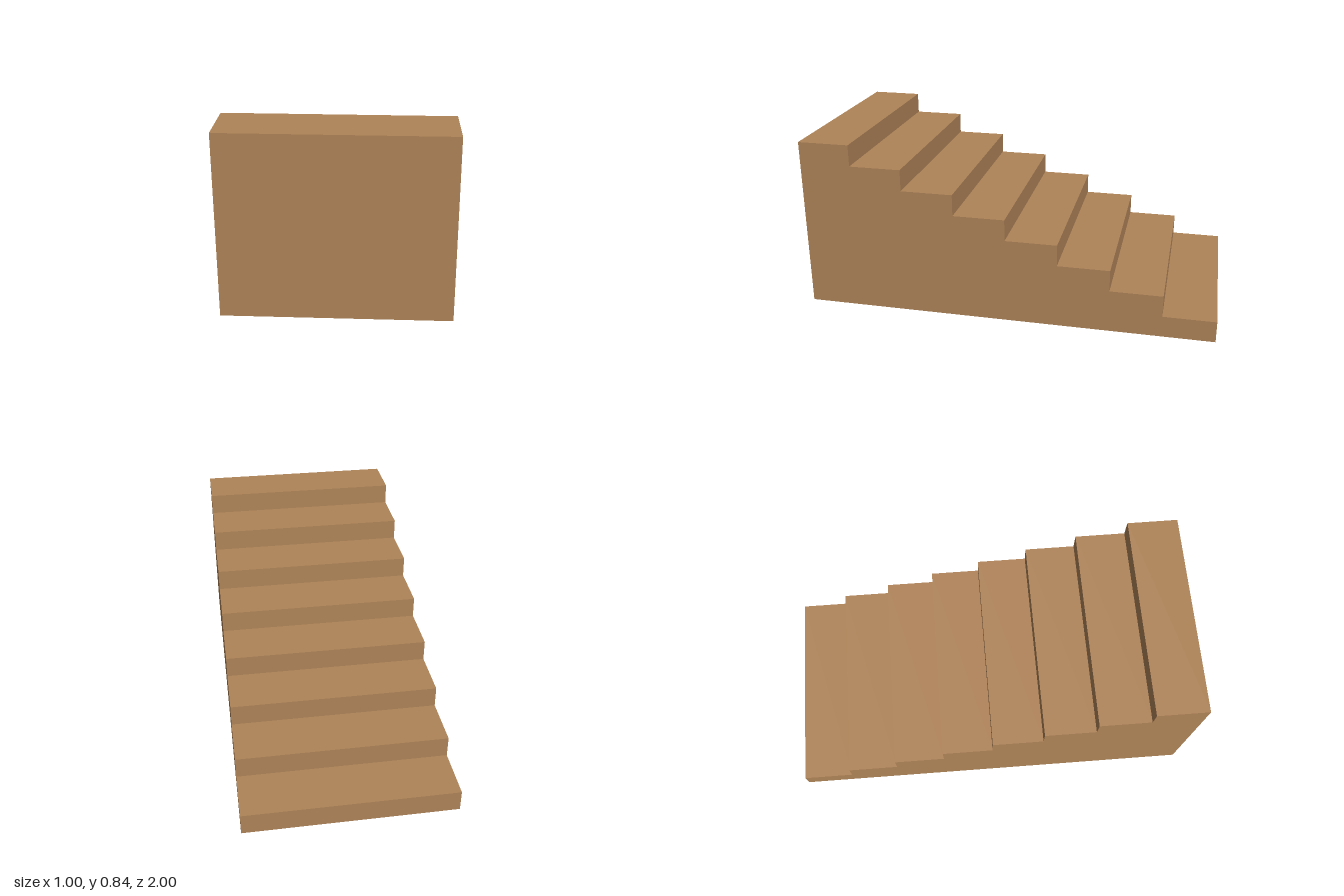
import * as THREE from 'three';

const STEPS = 8, WIDTH = 1, HEIGHT = 0.836, LENGTH = 2;
const RISE = HEIGHT / STEPS, RUN = LENGTH / STEPS;

export function createModel() {
  const group = new THREE.Group();
  group.name = 'staircase';
  const wood = new THREE.MeshStandardMaterial({ color: 0xb08458, side: THREE.DoubleSide });
  wood.name = 'wood brown';

  const add = (name, geometry, x, y, z) => {
    const mesh = new THREE.Mesh(geometry, wood);
    mesh.name = name;
    mesh.position.set(x, y, z);
    group.add(mesh);
  };

  // Treads and risers, climbing from the back towards the front
  for (let i = 0; i < STEPS; i++) {
    const z = -LENGTH / 2 + i * RUN;
    add(`riser${i + 1}`, new THREE.PlaneGeometry(WIDTH, RISE).rotateY(Math.PI), 0, (i + 0.5) * RISE, z);
    add(`tread${i + 1}`, new THREE.PlaneGeometry(WIDTH, RUN).rotateX(-Math.PI / 2), 0, (i + 1) * RISE, z + RUN / 2);
  }

  // Tall wall under the top step; the underside stays open
  add('frontWall', new THREE.PlaneGeometry(WIDTH, HEIGHT), 0, HEIGHT / 2, LENGTH / 2);

  // Stepped side walls, mirrored so both face outwards
  for (const side of [-1, 1]) {
    const profile = [new THREE.Vector2(-side * LENGTH / 2, 0), new THREE.Vector2(side * LENGTH / 2, 0)];
    for (let i = 0; i < STEPS; i++) {
      const z = -LENGTH / 2 + i * RUN, y = (i + 1) * RISE;
      profile.push(new THREE.Vector2(-side * z, y), new THREE.Vector2(-side * (z + RUN), y));
    }
    profile.push(profile.shift());
    const wall = new THREE.ShapeGeometry(new THREE.Shape(profile)).rotateY(side * Math.PI / 2);
    add(side < 0 ? 'rightWall' : 'leftWall', wall, side * WIDTH / 2, 0, 0);
  }
  return group;
}
